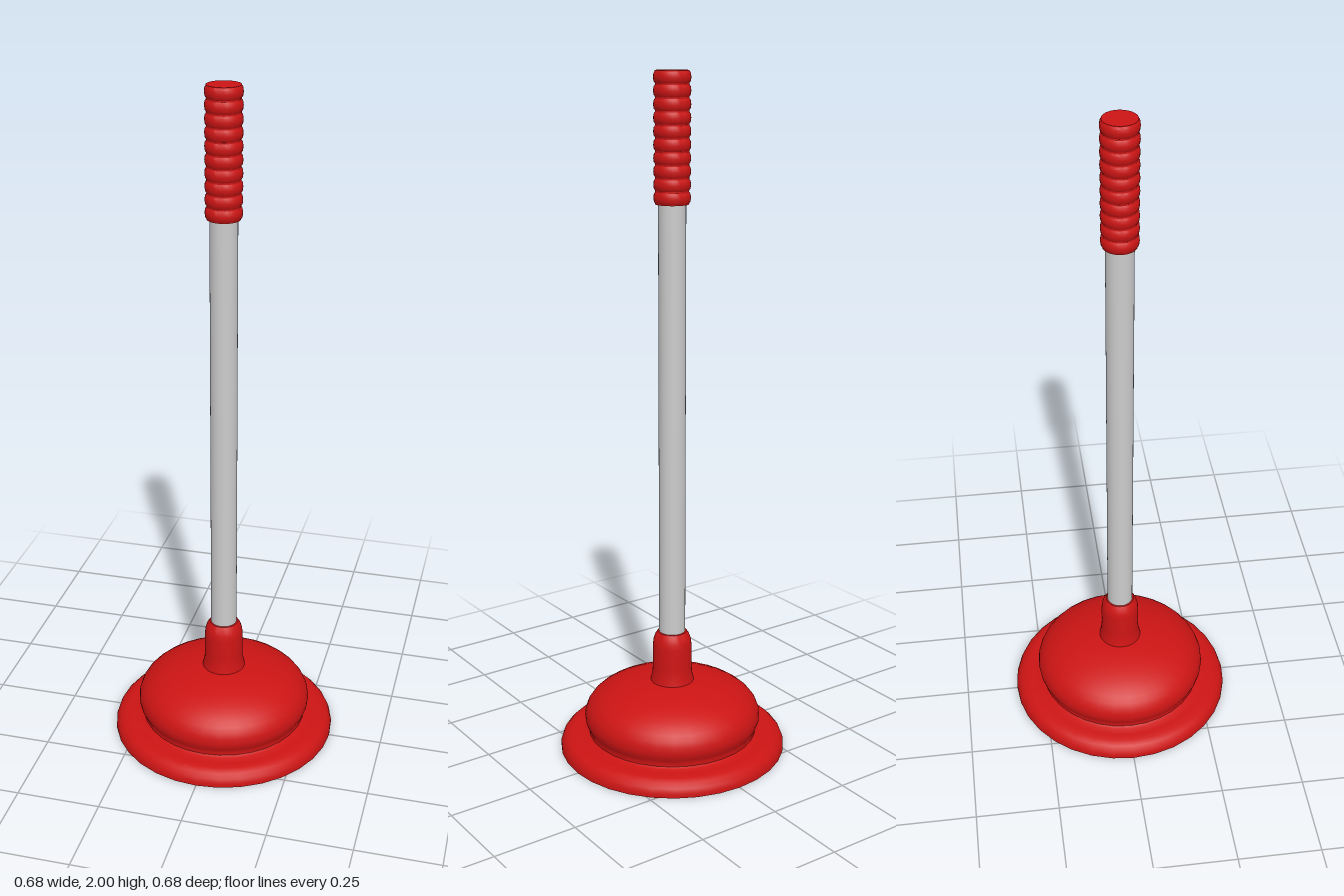
import * as THREE from 'three';
import { toCreasedNormals } from 'three/addons/utils/BufferGeometryUtils.js';

const red = new THREE.MeshStandardMaterial({ color: 0xcc1414, side: THREE.DoubleSide });
const grey = new THREE.MeshStandardMaterial({ color: 0xcccccc });

// Revolve [radius, height] pairs; edges sharper than the crease stay crisp
function lathe(name, profile, material, crease = 0.75) {
  const points = profile.map(([r, y]) => new THREE.Vector2(r, y));
  const mesh = new THREE.Mesh(toCreasedNormals(new THREE.LatheGeometry(points, 32), crease), material);
  mesh.name = name;
  return mesh;
}

// Quarter-round dome section from the equator to the crown, with a slightly flattened top
function domeArc(radius, baseY, height, steps, endRadius) {
  const arc = [];
  for (let i = 0; i <= steps; i++) {
    const a = (i / steps) * Math.PI / 2;
    const r = radius * Math.pow(Math.cos(a), 0.94);
    arc.push([Math.max(r, endRadius), baseY + height * Math.pow(Math.sin(a), 0.94)]);
  }
  return arc;
}

export function createModel() {
  const model = new THREE.Group();

  // Hollow cup: inner dome, folded inner flange, flared rim, then outer dome
  const inside = domeArc(0.245, 0.1, 0.095, 10, 0).reverse();
  const outside = domeArc(0.265, 0.098, 0.117, 12, 0.04);
  model.add(lathe('rubberCup', [
    ...inside,
    [0.235, 0.08], [0.215, 0.07], [0.18, 0.07],
    [0.18, 0.02], [0.187, 0.015], [0.2, 0.02], [0.235, 0.036], [0.262, 0.04],
    [0.29, 0.03], [0.325, 0.002], [0.332, 0], [0.339, 0],
    [0.339, 0.012], [0.334, 0.026], [0.323, 0.038], [0.305, 0.045], [0.285, 0.047],
    [0.26, 0.047], [0.253, 0.052], [0.252, 0.06], [0.258, 0.073], [0.263, 0.085],
    ...outside,
  ], red));

  // Socket holding the stick
  model.add(lathe('socketCollar', [
    [0.066, 0.205], [0.064, 0.217], [0.06, 0.235], [0.058, 0.26], [0.058, 0.325],
    [0.056, 0.342], [0.051, 0.357], [0.043, 0.369], [0.038, 0.37],
  ], red));

  // Stick
  const stick = new THREE.Mesh(new THREE.CylinderGeometry(0.039, 0.039, 1.34, 32), grey);
  stick.position.y = 1.0;
  stick.name = 'stick';
  model.add(stick);

  // Ribbed grip
  const ribs = 10, bottom = 1.64, pitch = 0.36 / ribs;
  const grip = [[0, bottom], [0.047, bottom]];
  for (let i = 0; i < ribs; i++) {
    const y = bottom + i * pitch;
    grip.push([0.047, y + pitch * 0.06], [0.0505, y + pitch * 0.2], [0.052, y + pitch * 0.5],
      [0.0505, y + pitch * 0.8], [0.047, y + pitch * 0.94]);
  }
  grip.push([0.047, 2], [0, 2]);
  model.add(lathe('ribbedGrip', grip, red, 0.6));

  return model;
}
